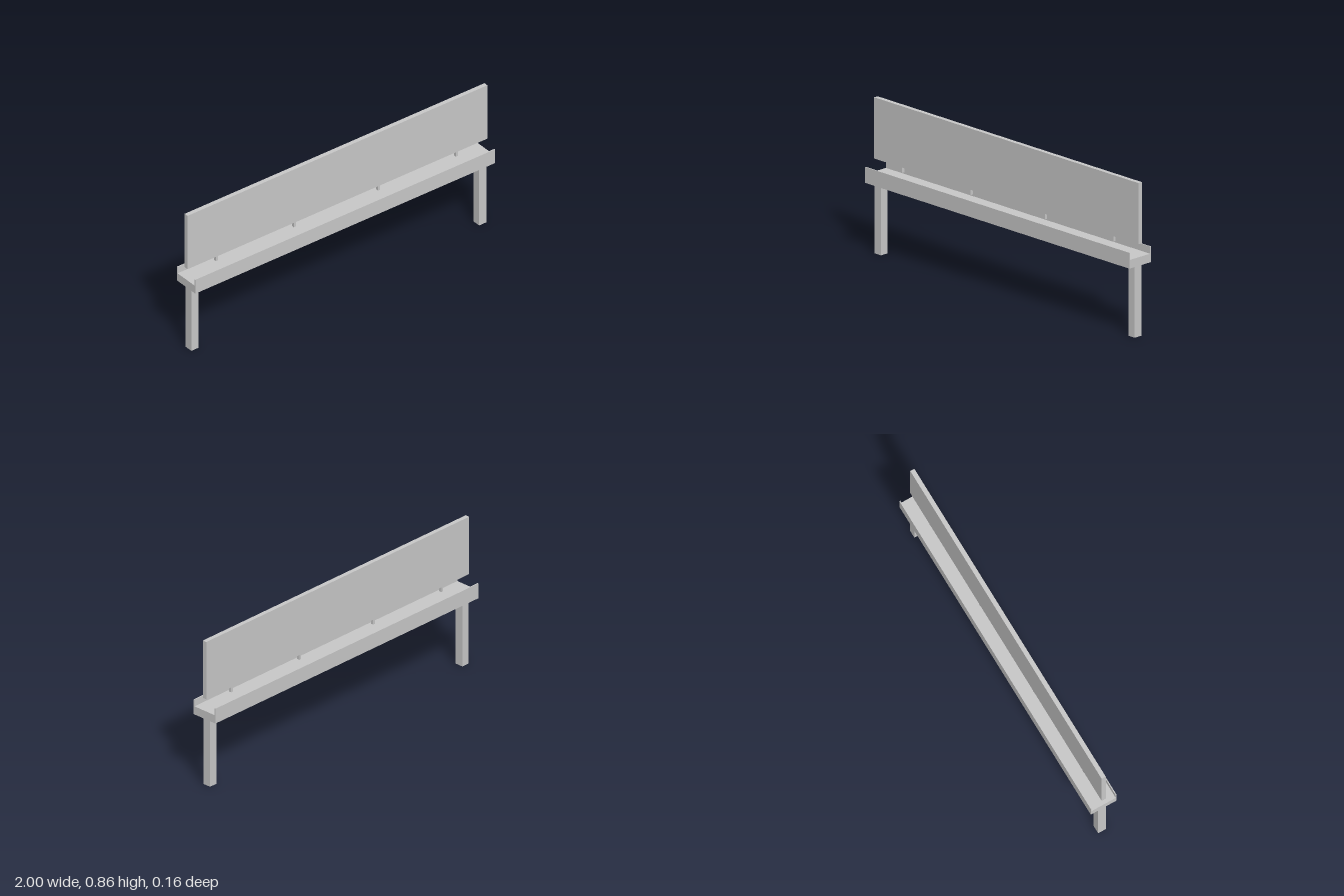
import * as THREE from 'three';

export function createModel() {
  const model = new THREE.Group();
  const grey = new THREE.MeshStandardMaterial({ color: 0xc8c8c8 });
  grey.name = 'light grey';

  // Box given by its centre x and z, its bottom and top, and its width and depth
  function addBox(name, x, z, bottom, top, width, depth) {
    const mesh = new THREE.Mesh(new THREE.BoxGeometry(width, top - bottom, depth), grey);
    mesh.name = name;
    mesh.position.set(x, (bottom + top) / 2, z);
    model.add(mesh);
  }

  // Upright panel and the long slab below it
  addBox('panel', 0, 0, 0.52, 0.86, 2, 0.025);
  addBox('slab', 0, 0, 0.4, 0.448, 2, 0.158);

  for (const side of [1, -1]) {
    const label = side > 0 ? 'left' : 'right';

    // Post under each end
    addBox(label + 'Post', side * 0.96, 0, 0, 0.4, 0.048, 0.049);

    // Thin lip along each long edge of the slab
    addBox(side > 0 ? 'frontLip' : 'backLip', 0, side * 0.0762, 0.448, 0.488, 2, 0.0056);

    // Short tabs hanging below the panel
    addBox(label + 'OuterTab', side * 0.8, 0, 0.488, 0.52, 0.013, 0.016);
    addBox(label + 'InnerTab', side * 0.281, 0, 0.488, 0.52, 0.013, 0.016);
  }

  return model;
}
